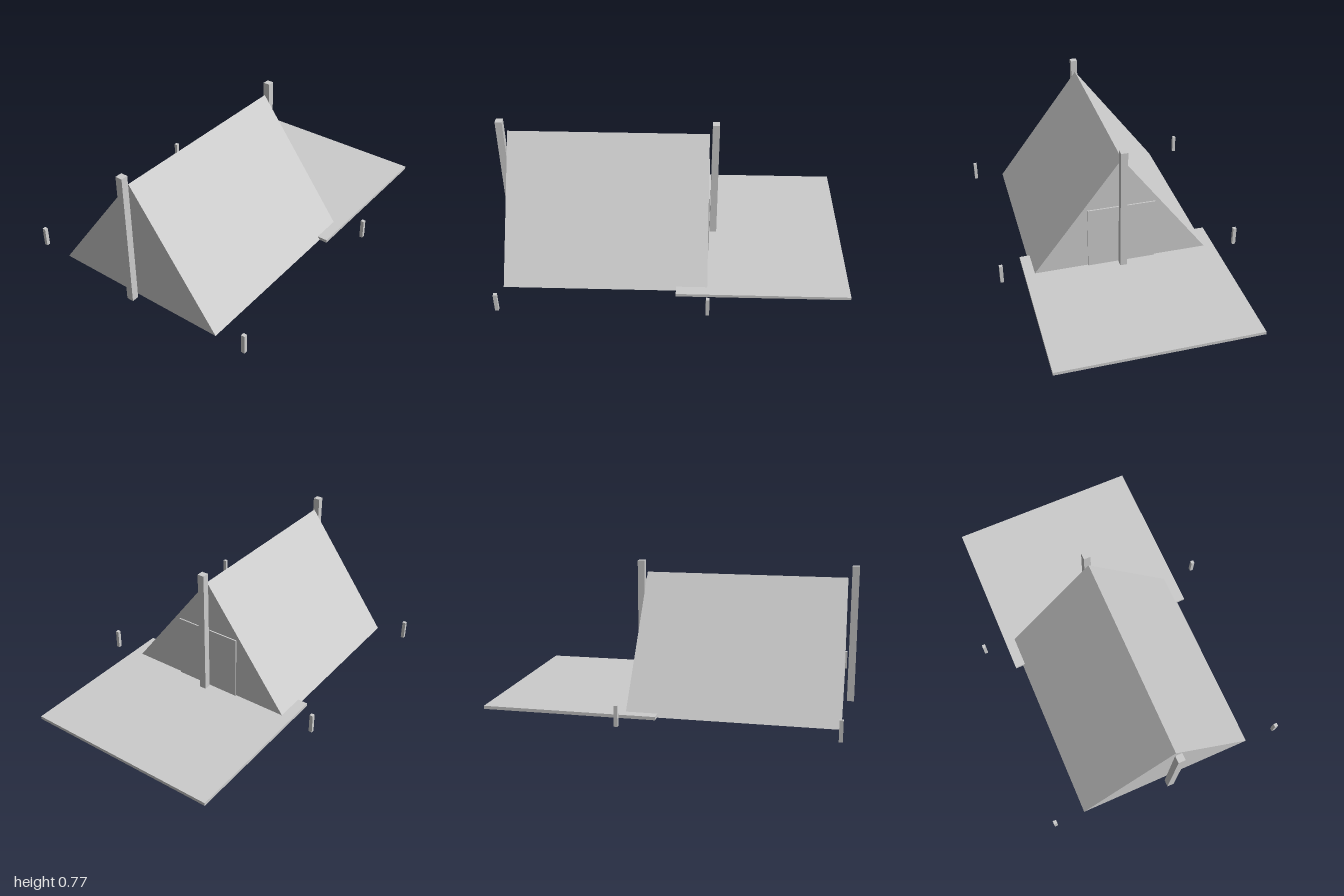
import * as THREE from 'three';

export function createModel() {
  const model = new THREE.Group();
  model.name = 'ridgeTent';
  const grey = new THREE.MeshStandardMaterial({ color: 0xcccccc });
  grey.name = 'plain grey';

  // Box standing on the ground, centred on x and z
  const addBox = (name, w, h, d, x, z) => {
    const mesh = new THREE.Mesh(new THREE.BoxGeometry(w, h, d), grey);
    mesh.position.set(x, h / 2, z);
    mesh.name = name;
    model.add(mesh);
  };

  // Closed triangular tent body with its floor
  const backZ = -0.205, frontZ = 0.94;
  const triangle = new THREE.Shape();
  triangle.moveTo(-0.528, 0);
  triangle.lineTo(0.528, 0);
  triangle.lineTo(0, 0.705);
  triangle.closePath();
  const body = new THREE.Mesh(
    new THREE.ExtrudeGeometry(triangle, { depth: frontZ - backZ, bevelEnabled: false }), grey);
  body.position.z = backZ;
  body.name = 'tentBody';
  model.add(body);

  // Groundsheet reaching out behind the tent
  addBox('groundsheet', 1.148, 0.018, 0.97, 0, -0.515);

  // Thin door panel on the back wall
  addBox('door', 0.4, 0.4, 0.009, 0, backZ - 0.0035);

  // Upright poles outside each end
  addBox('frontPole', 0.04, 0.772, 0.04, 0, 0.98);
  addBox('backPole', 0.04, 0.772, 0.04, 0, -0.24);

  // Ground pegs off the four corners
  for (const side of [-1, 1]) {
    for (const z of [frontZ, backZ]) {
      addBox((side > 0 ? 'left' : 'right') + (z > 0 ? 'Front' : 'Back') + 'Peg',
        0.02, 0.112, 0.02, side * 0.706, z);
    }
  }
  return model;
}
